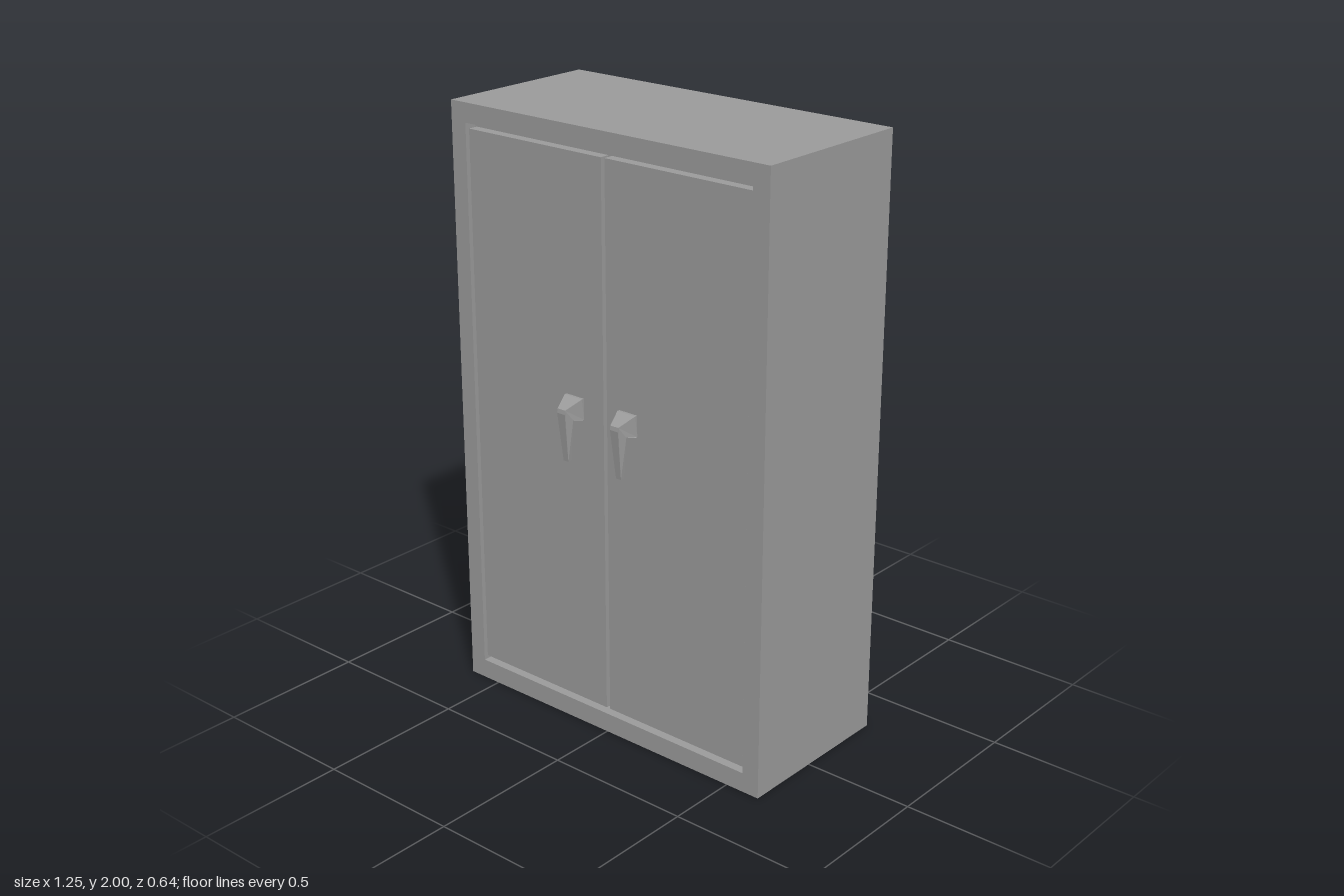
import * as THREE from 'three';

const material = new THREE.MeshStandardMaterial({ color: 0x9b9b9b, flatShading: true });

const BACK = -0.32, RECESS = 0.22, HINGE = 0.235, DOOR = 0.254, FRONT = 0.263;

function add(parent, name, geometry) {
  const mesh = new THREE.Mesh(geometry, material);
  mesh.name = name;
  parent.add(mesh);
  return mesh;
}

// Box given by its limits on each axis
function boxBetween(x0, x1, y0, y1, z0, z1) {
  return new THREE.BoxGeometry(x1 - x0, y1 - y0, z1 - z0)
    .translate((x0 + x1) / 2, (y0 + y1) / 2, (z0 + z1) / 2);
}

function rectangle(path, x0, x1, y0, y1) {
  path.moveTo(x0, y0);
  path.lineTo(x1, y0);
  path.lineTo(x1, y1);
  path.lineTo(x0, y1);
  path.closePath();
  return path;
}

// Side profile (z, y) extruded across x, then narrowed toward the front and the tip
function handleGeometry() {
  const profile = [
    [DOOR, 1.07], [FRONT, 1.07], [0.292, 1.077], [0.287, 0.936],
    [0.301, 0.936], [0.32, 1.1], [0.318, 1.114], [FRONT, 1.14], [DOOR, 1.14],
  ].map(([z, y]) => new THREE.Vector2(z, y));
  const geometry = new THREE.ExtrudeGeometry(new THREE.Shape(profile), { depth: 2, bevelEnabled: false });
  geometry.translate(0, 0, -1).rotateY(-Math.PI / 2);
  const p = geometry.attributes.position;
  for (let i = 0; i < p.count; i++) {
    const forward = THREE.MathUtils.clamp((p.getZ(i) - FRONT) / 0.055, 0, 1);
    const block = THREE.MathUtils.lerp(0.036, 0.016, forward);
    const halfWidth = p.getY(i) < 1 ? 0.01 : block;
    p.setX(i, p.getX(i) * halfWidth);
  }
  geometry.computeVertexNormals();
  return geometry;
}

export function createModel() {
  const cabinet = new THREE.Group();
  cabinet.name = 'cabinet';

  // Carcass and the raised frame around the door opening
  add(cabinet, 'carcass', boxBetween(-0.623, 0.623, 0, 2, BACK, RECESS));
  const outline = rectangle(new THREE.Shape(), -0.623, 0.623, 0, 2);
  outline.holes.push(rectangle(new THREE.Path(), -0.563, 0.562, 0.066, 1.936));
  add(cabinet, 'frontFrame', new THREE.ExtrudeGeometry(outline, { depth: FRONT - RECESS, bevelEnabled: false })
    .translate(0, 0, RECESS));

  // Doors with their handles
  const handle = handleGeometry();
  const doors = [
    { side: 'right', x0: -0.557, x1: -0.009, handleX: -0.127 },
    { side: 'left', x0: 0.005, x1: 0.555, handleX: 0.092 },
  ];
  for (const { side, x0, x1, handleX } of doors) {
    add(cabinet, side + 'Door', boxBetween(x0, x1, 0.082, 1.917, RECESS, DOOR));
    add(cabinet, side + 'Handle', handle).position.x = handleX;
  }

  // Hinge knuckles set deep in the gaps beside the doors
  for (const [x0, x1] of [[-0.563, -0.557], [-0.009, 0.005], [0.555, 0.562]]) {
    for (const y of [0.445, 0.922, 1.473]) {
      add(cabinet, 'hinge', boxBetween(x0, x1, y - 0.033, y + 0.033, RECESS, HINGE));
    }
  }
  return cabinet;
}
